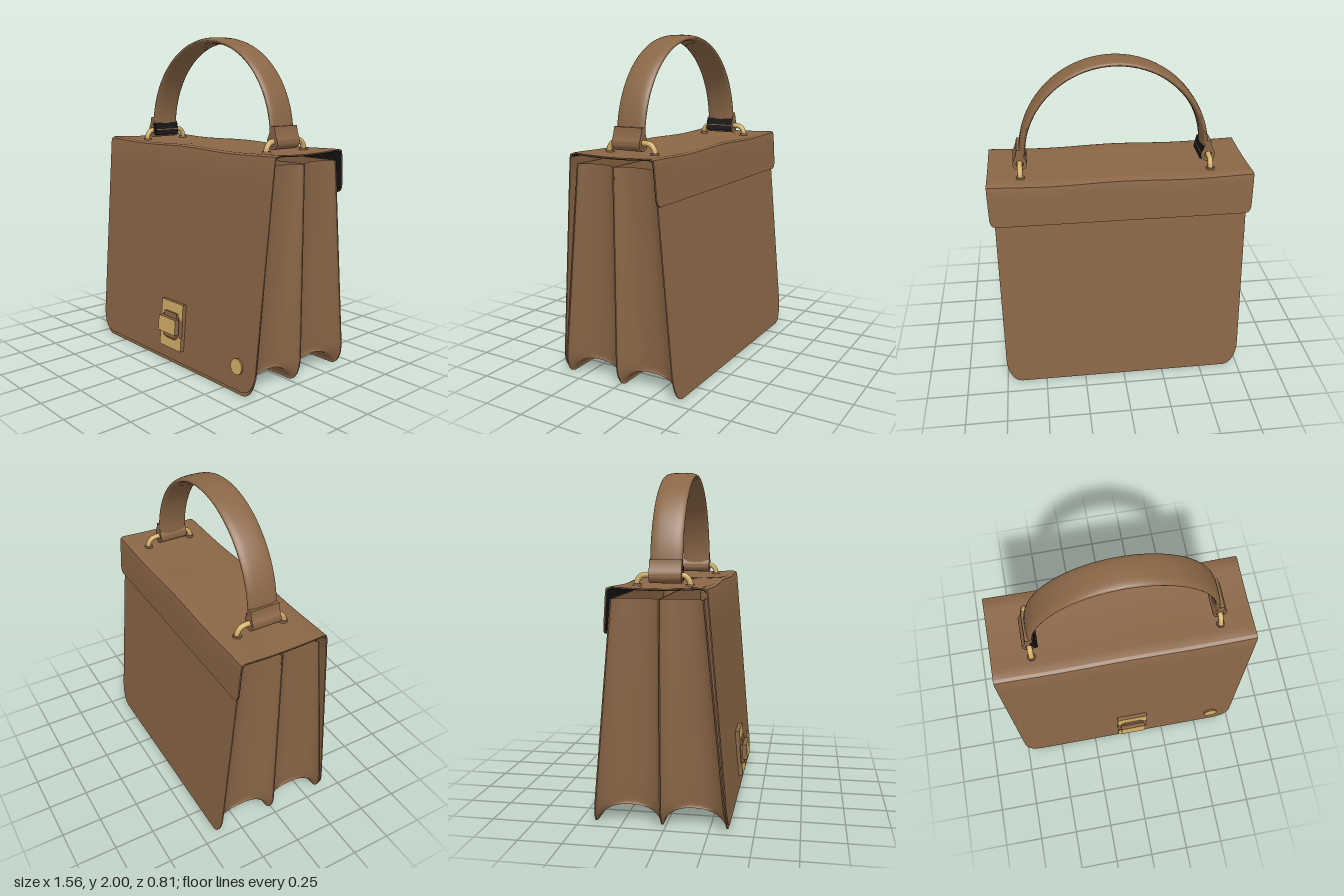
import * as THREE from 'three';
import { toCreasedNormals } from 'three/addons/utils/BufferGeometryUtils.js';

const mat = (name, color, side = THREE.FrontSide) => {
  const m = new THREE.MeshStandardMaterial({ color, side });
  m.name = name;
  return m;
};

export function createModel() {
  const bag = new THREE.Group();
  bag.name = 'handbag';
  const leather = mat('brown leather', 0x8a6646, THREE.DoubleSide);
  const gold = mat('gold metal', 0xd2ae66);
  const dark = mat('dark lining', 0x141414, THREE.DoubleSide);

  const add = (name, geometry, material, parent = bag) => {
    const mesh = new THREE.Mesh(geometry, material);
    mesh.name = name;
    parent.add(mesh);
    return mesh;
  };

  // Surface through rows of [x, y, z] points
  const loft = (rows, crease = 0.7) => {
    const n = rows[0].length, index = [];
    for (let i = 0; i < rows.length - 1; i++) {
      for (let j = 0; j < n - 1; j++) {
        const a = i * n + j, b = a + n;
        index.push(a, a + 1, b, a + 1, b + 1, b);
      }
    }
    const g = new THREE.BufferGeometry();
    g.setAttribute('position', new THREE.Float32BufferAttribute(rows.flat(2), 3));
    g.setIndex(index);
    return toCreasedNormals(g, crease);
  };

  // U-shaped outline of a panel, shrunk by an inset
  const TOP = 1.29, HALF = 0.748, BOTTOM = 0.003, RX = 0.09, RY = 0.16;
  const outline = (insetAt) => {
    const half = [];
    for (let i = 0; i <= 12; i++) half.push([HALF, TOP - (i / 12) * (TOP - BOTTOM - RY), 1, 0]);
    for (let i = 1; i <= 8; i++) {
      const a = (i / 8) * Math.PI / 2, c = Math.cos(a), s = Math.sin(a);
      half.push([HALF - RX + RX * c, BOTTOM + RY - RY * s, c, s]);
    }
    for (let i = 1; i <= 5; i++) half.push([(HALF - RX) * (1 - i / 5), BOTTOM, 0, 1]);
    const right = half.map(([x, y, nx, ny]) => [x - nx * insetAt(y), y + ny * insetAt(y)]);
    return [...right, ...right.slice(0, -1).reverse().map(([x, y]) => [-x, y])];
  };
  const zFront = (y) => 0.35 - 0.101 * y;
  const zMiddle = () => -0.02;
  const zBack = (y) => -0.403 + 0.092 * y;

  // Front, middle and back panels
  const panelShape = new THREE.Shape(outline(() => 0).map(([x, y]) => new THREE.Vector2(x, y)));
  const panels = [['frontPanel', zFront], ['middlePanel', zMiddle], ['backPanel', zBack]];
  for (const [name, zAt] of panels) {
    const g = new THREE.ExtrudeGeometry(panelShape, { depth: 0.007, bevelEnabled: false });
    const p = g.attributes.position;
    for (let i = 0; i < p.count; i++) p.setZ(i, p.getZ(i) - 0.0035 + zAt(p.getY(i)));
    add(name, toCreasedNormals(g, 0.6), leather);
  }

  // Concave gussets joining the panels, with a flat middle
  for (const [name, zA, zB] of [['frontGusset', zFront, zMiddle], ['backGusset', zMiddle, zBack]]) {
    const rows = [];
    for (let i = 0; i <= 20; i++) {
      const s = (1 - Math.cos((i / 20) * Math.PI)) / 2;
      const dip = Math.pow(1 - Math.pow(Math.abs(2 * s - 1), 2.6), 0.7);
      rows.push(outline((y) => dip * (0.106 - 0.045 * y))
        .map(([x, y]) => [x, y, THREE.MathUtils.lerp(zA(y), zB(y), s)]));
    }
    add(name, loft(rows, 1.2), leather);
  }

  // Flap: swept over the top from front hem to back hem
  const path = [[0.025, 0.36], [0.18, 0.347], [1.325, 0.248], [1.348, 0.242], [1.357, 0.22],
    [1.357, -0.28], [1.35, -0.3], [1.325, -0.304], [1.16, -0.316], [1.1, -0.32]];
  const flapRows = [];
  path.forEach(([y, z], i) => {
    const next = path[i + 1];
    const steps = next ? 8 : 1;
    for (let k = 0; k < steps; k++) {
      const t = k / steps;
      flapRows.push(next ? [y + (next[0] - y) * t, z + (next[1] - z) * t] : [y, z]);
    }
  });
  const flapHalf = (y, z) => {
    const base = 0.75 + 0.03 * Math.min(1, y / 1.3);
    const r = z > 0 ? 0.14 : 0.05;
    const d = Math.min(r, z > 0 ? y - 0.025 : y - 1.1);
    return base - r * 0.65 * (1 - Math.sqrt(Math.max(0, 1 - ((r - d) / r) ** 2)));
  };
  const flapLayer = (y, z, off) => {
    const w = flapHalf(y, z), pts = [];
    for (let j = 0; j <= 24; j++) {
      const x = w * (j / 12 - 1);
      const wave = y > 1.3 ? 0.01 * Math.sin(Math.PI * x / 0.82) ** 2 : 0;
      const hollow = y > 1.356 ? 0.009 * Math.cos((z + 0.03) * Math.PI / 0.5) : 0;
      const topness = THREE.MathUtils.smoothstep(y, 1.3, 1.355);
      pts.push([x, y - wave - hollow - off * topness,
        z - Math.sign(z) * off * (Math.abs(z) > 0.21 ? 1 : 0)]);
    }
    return pts;
  };
  add('flap', loft(flapRows.map(([y, z]) => {
    const outer = flapLayer(y, z, 0);
    return [...outer, ...flapLayer(y, z, 0.007).reverse(), outer[0]];
  })), leather);
  // Lining under the top and the back hem only
  const liningRows = flapRows.filter(([, z]) => z < 0.245);
  add('flapLining', loft(liningRows.map(([y, z]) => flapLayer(y, z, 0.01))), dark);

  // Arched handle strap with a rounded section
  const handleRows = [];
  for (let i = 0; i <= 48; i++) {
    const a = (i / 48) * Math.PI, row = [];
    for (let j = 0; j <= 24; j++) {
      const b = (j / 24) * Math.PI * 2, c = Math.cos(b), s = Math.sin(b);
      const across = 0.093 * Math.sign(c) * Math.pow(Math.abs(c), 0.7);
      const r = 0.02 * s;
      row.push([0.02 + (0.55 + r) * Math.cos(a), 1.42 + (0.56 + r) * Math.sin(a), -0.02 + across]);
    }
    handleRows.push(row);
  }
  add('handle', loft(handleRows, 1.2), leather);

  // Handle loops, rings and eyelets
  const loop = new THREE.Shape();
  loop.moveTo(-0.016, 0.09);
  loop.quadraticCurveTo(-0.02, 0.05, -0.038, 0.02);
  loop.absarc(0, 0, 0.042, Math.PI * 0.86, Math.PI * 2.14, false);
  loop.quadraticCurveTo(0.02, 0.05, 0.016, 0.09);
  const hole = new THREE.Path();
  hole.absarc(0, 0, 0.022, 0, Math.PI * 2, true);
  loop.holes.push(hole);
  const ringPath = new THREE.CatmullRomCurve3([[1.335, 0.12], [1.37, 0.115], [1.4, 0.092], [1.408, 0.05],
    [1.408, -0.12], [1.4, -0.162], [1.37, -0.185], [1.335, -0.19]].map(([y, z]) => new THREE.Vector3(0, y, z)));
  for (const [side, x] of [['right', -0.542], ['left', 0.585]]) {
    const g = new THREE.ExtrudeGeometry(loop, { depth: 0.184, bevelEnabled: false, curveSegments: 16 });
    add(side + 'HandleLoop', toCreasedNormals(g, 0.6), leather).position.set(x, 1.402, -0.112);
    add(side + 'Ring', new THREE.TubeGeometry(ringPath, 40, 0.016, 10), gold).position.x = x;
    for (const z of [-0.185, 0.115]) {
      const eyelet = add(side + 'Eyelet', new THREE.CylinderGeometry(0.024, 0.026, 0.02, 18), leather);
      eyelet.position.set(x, 1.347, z);
    }
  }
  // Dark lining on the inner face of one handle end
  const patch = add('handleEndLining', new THREE.BoxGeometry(0.026, 0.08, 0.185), dark);
  patch.position.set(-0.515, 1.414, -0.018);
  patch.rotation.z = 0.2;

  // Clasp, tilted with the front of the flap
  const clasp = new THREE.Group();
  clasp.name = 'clasp';
  clasp.position.set(0.025, 0.251, 0.342);
  clasp.rotation.x = -0.087;
  bag.add(clasp);
  const box = (name, w, h, d, y, z, front) => {
    const sides = [leather, leather, leather, leather, front, leather];
    add(name, new THREE.BoxGeometry(w, h, d), sides, clasp).position.set(0, y, z);
  };
  box('claspBase', 0.206, 0.29, 0.024, 0, 0.008, leather);
  box('claspHousing', 0.12, 0.16, 0.02, 0.003, 0.026, leather);
  box('claspLock', 0.164, 0.095, 0.03, 0.003, 0.046, gold);
  const plate = (name, points) => {
    const shape = new THREE.Shape(points.map(([x, y]) => new THREE.Vector2(x, y)));
    const g = new THREE.ExtrudeGeometry(shape, { depth: 0.005, bevelEnabled: false });
    add(name, g, [gold, leather], clasp).position.z = 0.02;
  };
  plate('upperClaspPlate', [[-0.103, 0.048], [-0.082, 0.048], [-0.082, 0.056], [-0.048, 0.083],
    [0.048, 0.083], [0.082, 0.056], [0.082, 0.048], [0.103, 0.048], [0.103, 0.146], [-0.103, 0.146]]);
  plate('lowerClaspPlate', [[-0.103, -0.146], [0.103, -0.146], [0.103, -0.063], [0.075, -0.063],
    [0.045, -0.088], [-0.045, -0.088], [-0.075, -0.063], [-0.103, -0.063]]);

  // Round stud near the lower corner
  const stud = add('stud', new THREE.CylinderGeometry(0.046, 0.046, 0.018, 24), [leather, gold, leather]);
  stud.rotation.x = Math.PI / 2 - 0.087;
  stud.position.set(0.61, 0.163, 0.352);

  return bag;
}
